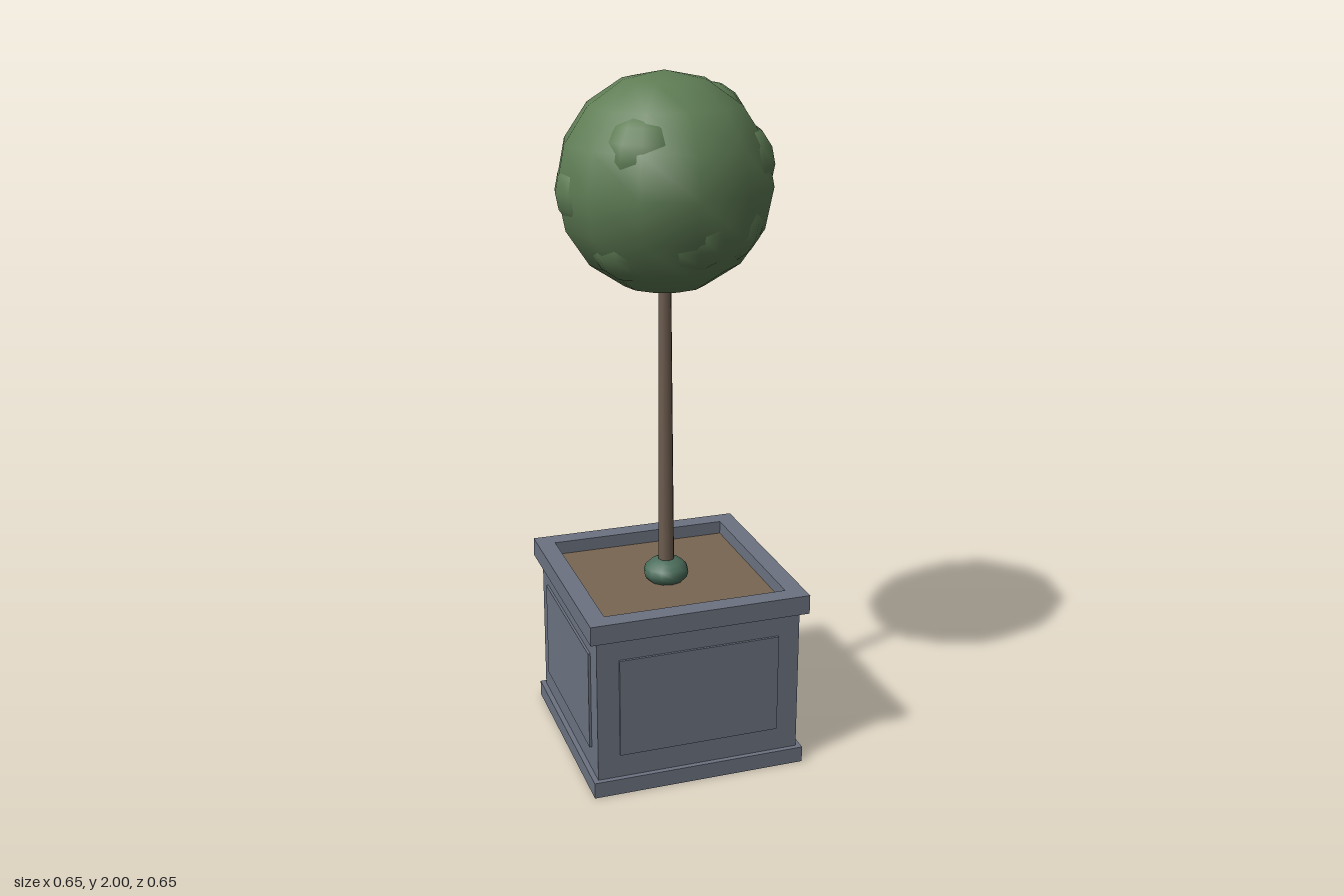
import * as THREE from 'three';

const mat = (color) => new THREE.MeshStandardMaterial({ color });

export function createModel() {
  const model = new THREE.Group();
  const stone = mat(0x6b7280), soilMat = mat(0x7a6652), bark = mat(0x6e5d50);
  const leaf = mat(0x5f7d55), moss = mat(0x4c6e5c);

  const add = (name, geometry, material, x, y, z, parent = model) => {
    const mesh = new THREE.Mesh(geometry, material);
    mesh.name = name;
    mesh.position.set(x, y, z);
    parent.add(mesh);
    return mesh;
  };

  // Square frame with a square opening, lying flat from y0 to y1
  const frame = (outer, inner, y0, y1) => {
    const square = (Type, h) => new Type([[-h, -h], [h, -h], [h, h], [-h, h]].map(([x, y]) => new THREE.Vector2(x, y)));
    const shape = square(THREE.Shape, outer);
    shape.holes.push(square(THREE.Path, inner));
    return new THREE.ExtrudeGeometry(shape, { depth: y1 - y0, bevelEnabled: false })
      .rotateX(-Math.PI / 2).translate(0, y0, 0);
  };

  // Planter box
  const planter = new THREE.Group();
  planter.name = 'planter';
  model.add(planter);
  add('planterBase', new THREE.BoxGeometry(0.64, 0.048, 0.64), stone, 0, 0.024, 0, planter);
  add('planterBody', new THREE.BoxGeometry(0.61, 0.45, 0.61), stone, 0, 0.265, 0, planter);
  add('planterRim', frame(0.327, 0.272, 0.488, 0.545), stone, 0, 0, 0, planter);
  for (let i = 0; i < 4; i++) {
    const side = new THREE.Group();
    side.name = 'sidePanel' + (i + 1);
    side.rotation.y = i * Math.PI / 2;
    planter.add(side);
    add('raisedPanel', new THREE.BoxGeometry(0.48, 0.3, 0.02), stone, 0, 0.27, 0.302, side);
  }

  // Soil and moss mound
  add('soil', new THREE.BoxGeometry(0.544, 0.03, 0.544), soilMat, 0, 0.49, 0);
  add('mossMound', new THREE.SphereGeometry(0.068, 12, 8), moss, 0, 0.531, 0).scale.y = 0.65;

  // Slightly leaning, tapering trunk
  const foot = new THREE.Vector3(0, 0.5, 0.002), top = new THREE.Vector3(0, 1.45, -0.012);
  const lean = top.clone().sub(foot);
  const trunk = add('trunk', new THREE.CylinderGeometry(0.019, 0.025, lean.length(), 8), bark,
    0, (foot.y + top.y) / 2, (foot.z + top.z) / 2);
  trunk.quaternion.setFromUnitVectors(new THREE.Vector3(0, 1, 0), lean.normalize());

  // Clipped ball crown with shallow leafy lumps
  const crown = new THREE.Group();
  crown.name = 'crown';
  crown.position.set(0, 1.692, -0.017);
  model.add(crown);
  add('crownBall', new THREE.SphereGeometry(0.307, 12, 8), leaf, 0, 0, 0, crown);
  const lumps = [ // direction and radius
    [0.88, 0.32, 0.42, 0.124], [0.6, 0.8, 0.02, 0.122], [0.42, 0.4, -0.82, 0.126],
    [-0.5, 0.5, 0.7, 0.122], [-1, -0.05, 0, 0.12], [0.1, -0.5, 0.85, 0.12],
    [0.8, -0.2, -0.55, 0.122], [0.62, -0.45, 0.62, 0.12], [0, -0.55, -0.83, 0.124],
    [0.85, -0.55, 0, 0.116], [-0.6, -0.65, 0.4, 0.12], [-0.5, -0.7, -0.5, 0.12],
    [0.3, -0.9, -0.3, 0.116],
  ];
  lumps.forEach(([x, y, z, r], i) => {
    const p = new THREE.Vector3(x, y, z).setLength(0.192);
    add('leafLump' + (i + 1), new THREE.SphereGeometry(r, 12, 8), leaf, p.x, p.y, p.z, crown).rotation.y = i * 0.4;
  });
  return model;
}
